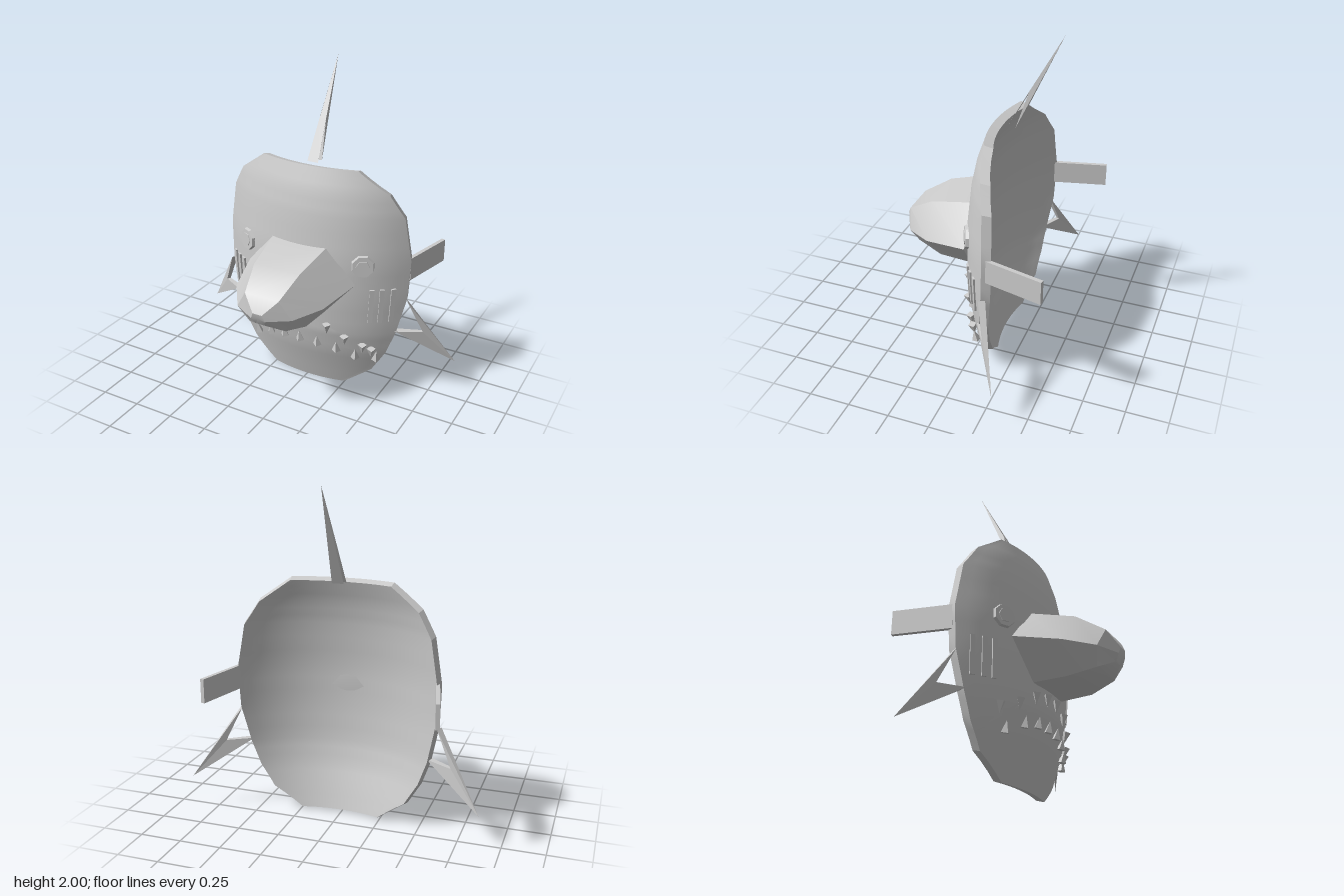
import * as THREE from 'three';
import { toCreasedNormals } from 'three/addons/utils/BufferGeometryUtils.js';

const V = (x, y, z) => new THREE.Vector3(x, y, z);
const grey = new THREE.MeshStandardMaterial({ color: 0xcccccc, side: THREE.DoubleSide });
grey.name = 'light grey';

// Mask rows: height, half width, depth of the front at the middle
const ROWS = [
  [0, 0.245, -0.05], [0.13, 0.42, -0.01], [0.27, 0.505, 0.035], [0.42, 0.56, 0.068], [0.65, 0.61, 0.085],
  [0.9, 0.62, 0.085], [1.17, 0.575, 0.055], [1.31, 0.49, 0.025], [1.44, 0.31, -0.02],
];

function rowAt(y) {
  let i = 0;
  while (i < ROWS.length - 2 && y > ROWS[i + 1][0]) i++;
  const [a, b] = [ROWS[i], ROWS[i + 1]];
  const t = (y - a[0]) / (b[0] - a[0]);
  return a.map((n, k) => n + (b[k] - n) * t);
}

// Point on the front of the mask
const surface = (x, y) => V(x, y, rowAt(y)[2] - 0.5 * x * x - 0.45 * x ** 4);

function normalAt(x, y) {
  const e = 0.04;
  const dx = surface(x + e, y).sub(surface(x - e, y));
  const dy = surface(x, y + e).sub(surface(x, y - e));
  return dx.cross(dy).normalize();
}

// Sheet of nu by nv cells from a point function of the cell indices
function grid(nu, nv, fn) {
  const pos = [], index = [];
  for (let j = 0; j <= nv; j++) {
    for (let i = 0; i <= nu; i++) {
      pos.push(...fn(i, j).toArray());
      if (i < nu && j < nv) {
        const a = j * (nu + 1) + i, b = a + 1, c = a + nu + 1, d = c + 1;
        index.push(a, b, d, a, d, c);
      }
    }
  }
  const g = new THREE.BufferGeometry();
  g.setAttribute('position', new THREE.Float32BufferAttribute(pos, 3));
  g.setIndex(index);
  g.computeVertexNormals();
  return g;
}

// Swept-back fin with a notch between its two legs: a and b are the roots, n the notch, tip the point
function fin(a, b, n, tip, half) {
  const pts = [a, n, b].flatMap((p, i) => {
    const h = half.clone().multiplyScalar(i === 1 ? 0.6 : 1);
    return [p.clone().add(h), p.clone().sub(h)];
  });
  pts.push(tip);
  const g = new THREE.BufferGeometry().setFromPoints(pts);
  g.setIndex([0, 2, 6, 2, 4, 6, 3, 1, 6, 5, 3, 6, 1, 0, 6, 4, 5, 6, 0, 1, 3, 0, 3, 2, 2, 3, 5, 2, 5, 4]);
  return toCreasedNormals(g, 0.1);
}

export function createModel() {
  const model = new THREE.Group();
  const add = (name, geometry) => {
    const mesh = new THREE.Mesh(geometry, grey);
    mesh.name = name;
    model.add(mesh);
    return mesh;
  };
  // Sets a detail on the mask, facing outwards
  const stick = (mesh, x, y, lift, roll = 0) => {
    const n = normalAt(x, y);
    mesh.position.copy(surface(x, y)).addScaledVector(n, lift);
    mesh.lookAt(mesh.position.clone().add(n));
    mesh.rotateZ(roll);
  };

  // Curved mask shell: front, back and rim
  const NU = 24, NV = (ROWS.length - 1) * 3;
  const frontPoint = (i, j) => {
    const r = Math.min(Math.floor(j / 3), ROWS.length - 2);
    const y = THREE.MathUtils.lerp(ROWS[r][0], ROWS[r + 1][0], j / 3 - r);
    return surface((2 * i / NU - 1) * rowAt(y)[1], y);
  };
  const backPoint = (i, j) => {
    const p = frontPoint(i, j);
    return V(p.x * 0.975, 0.72 + (p.y - 0.72) * 0.98, p.z - 0.052);
  };
  add('maskFront', grid(NU, NV, frontPoint));
  add('maskBack', grid(NU, NV, (i, j) => backPoint(NU - i, j)));
  const loop = [];
  for (let i = 0; i < NU; i++) loop.push([i, 0]);
  for (let j = 0; j < NV; j++) loop.push([NU, j]);
  for (let i = NU; i > 0; i--) loop.push([i, NV]);
  for (let j = NV; j >= 0; j--) loop.push([0, j]);
  add('maskRim', toCreasedNormals(
    grid(loop.length - 1, 1, (i, j) => (j ? frontPoint : backPoint)(...loop[i])), 0.3));

  // Snout: six-sided sections (top, side and bottom corner), closed at both ends
  const sections = [
    [[0, 0.775, 0.025], [0, 0.775, 0.025], [0, 0.775, 0.025]],
    [[0.18, 0.985, 0.05], [0.36, 0.775, 0.035], [0.175, 0.56, 0.07]],
    [[0.148, 0.92, 0.32], [0.29, 0.73, 0.3], [0.165, 0.565, 0.27]],
    [[0.11, 0.82, 0.485], [0.18, 0.705, 0.46], [0.12, 0.605, 0.43]],
    [[0.03, 0.735, 0.537], [0.045, 0.695, 0.53], [0.03, 0.655, 0.505]],
    [[0, 0.705, 0.53], [0, 0.705, 0.53], [0, 0.705, 0.53]],
  ];
  const corners = [[2, 1], [1, 1], [0, 1], [0, -1], [1, -1], [2, -1]];
  add('snout', toCreasedNormals(grid(6, sections.length - 1, (i, j) => {
    const [k, s] = corners[i % 6];
    const [x, y, z] = sections[j][k];
    return V(x * s, y, z);
  }), 0.5));

  // Mouth plate between two arcs
  const arc = (x, h) => 0.22 + h * (1 - (x / 0.48) ** 2);
  add('mouth', grid(32, 6, (i, j) => {
    const x = -0.48 + 0.03 * i;
    return surface(x, arc(x, 0.14 + 0.15 * j / 6)).add(V(0, 0, 0.004));
  }));

  // Teeth
  const toothGeo = toCreasedNormals(new THREE.ConeGeometry(0.028, 0.07, 4), 0.3);
  const tooth = (name, x, y, roll) => stick(add(name, toothGeo), x, y, 0.018, roll);
  [[-0.385, 0.365], [-0.27, 0.41], [-0.15, 0.47], [-0.04, 0.49], [0.07, 0.49], [0.19, 0.45],
    [0.29, 0.38], [0.385, 0.32], [0.43, 0.29]].forEach(([x, y]) => tooth('upperTooth', x, y, Math.PI));
  [[-0.33, 0.275], [-0.21, 0.33], [-0.1, 0.355], [0.01, 0.36], [0.125, 0.355], [0.24, 0.33],
    [0.345, 0.285], [0.455, 0.27]].forEach(([x, y]) => tooth('lowerTooth', x, y, 0));

  const ringGeo = toCreasedNormals(new THREE.CylinderGeometry(0.066, 0.072, 0.02, 8).rotateX(Math.PI / 2), 0.3);
  const eyeGeo = toCreasedNormals(new THREE.CylinderGeometry(0.042, 0.046, 0.02, 6).rotateX(Math.PI / 2), 0.3);
  const gillGeo = new THREE.BoxGeometry(0.028, 0.225, 0.012);
  for (const s of [-1, 1]) {
    const side = s > 0 ? 'left' : 'right';
    // Eye
    stick(add(side + 'EyeRing', ringGeo), s * 0.39, 0.89, 0.005, Math.PI / 8);
    stick(add(side + 'Eye', eyeGeo), s * 0.39, 0.89, 0.009, Math.PI / 6);
    // Gills
    for (const x of [0.437, 0.488, 0.542]) stick(add(side + 'Gill', gillGeo), s * x, 0.625, 0.003, -s * 0.03);
    // Side fin
    add(side + 'Fin', fin(V(s * 0.61, 0.64, -0.17), V(s * 0.55, 0.437, -0.14), V(s * 0.7, 0.43, -0.22),
      V(s * 0.88, 0.21, -0.33), V(s * 0.01, 0, 0.018)));
    // Strap
    const strap = add(side + 'Strap', new THREE.BoxGeometry(0.024, 0.142, 0.35));
    strap.position.set(s * 0.64, 0.84, -0.365);
    strap.rotation.y = -s * 0.23;
  }

  // Top fin
  add('topFin', fin(V(0, 1.43, -0.105), V(0, 1.43, -0.155), V(0, 1.66, -0.228), V(0, 2, -0.415), V(0.035, 0, 0)));
  return model;
}
